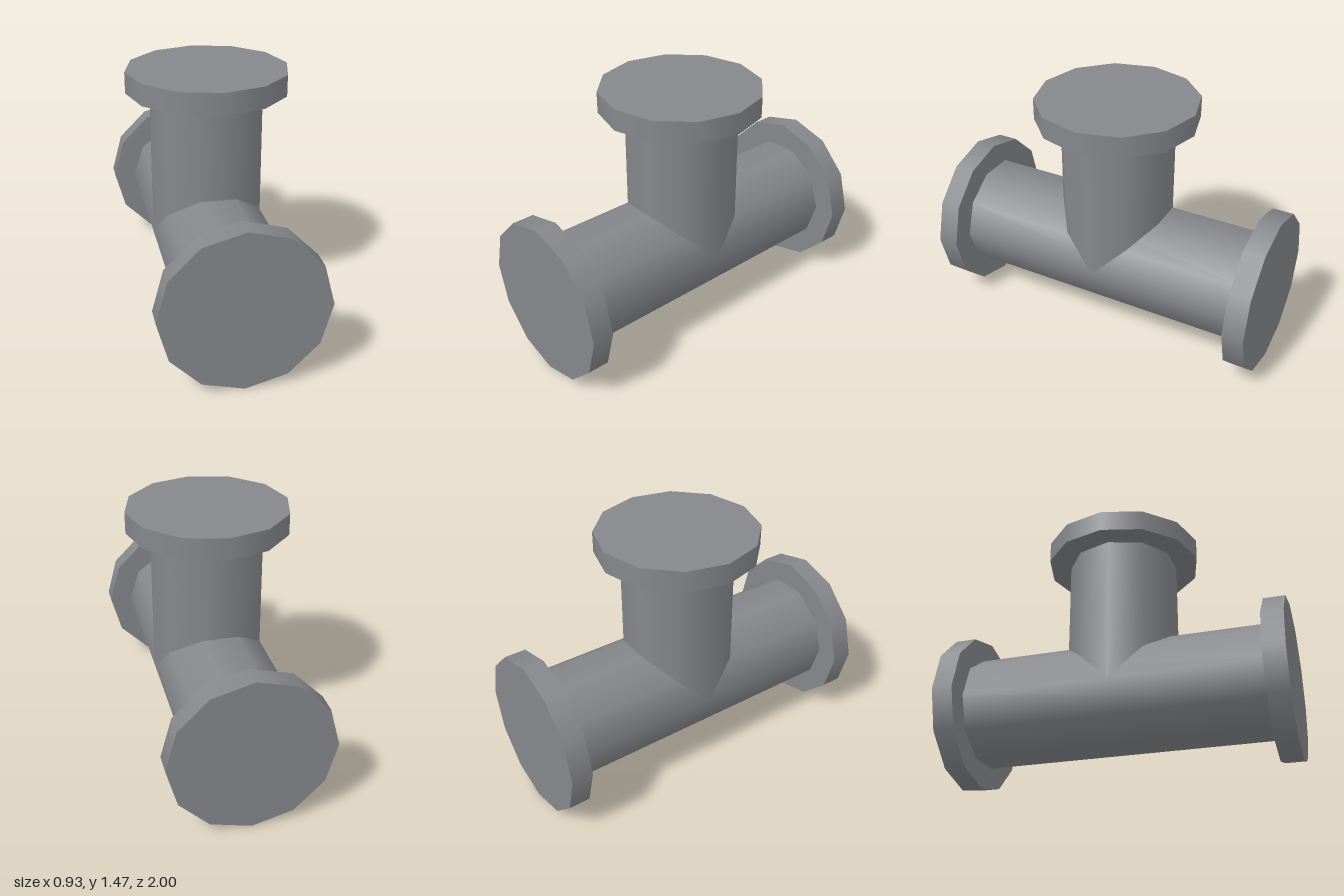
import * as THREE from 'three';

const AXIS_Y = 0.467; // height of the main pipe's centre line
const PIPE_R = 0.33, FLANGE_R = 0.467, FLANGE_T = 0.124;

export function createModel() {
  const model = new THREE.Group();
  model.name = 'pipeTee';
  const steel = new THREE.MeshStandardMaterial({ color: 0x85878b });
  steel.name = 'grey steel';

  const add = (name, geometry, y, z = 0) => {
    const mesh = new THREE.Mesh(geometry, steel);
    mesh.name = name;
    mesh.position.set(0, y, z);
    model.add(mesh);
  };
  // ten-sided open tube with corners on the x axis
  const tube = (length) =>
    new THREE.CylinderGeometry(PIPE_R, PIPE_R, length, 10, 1, true, Math.PI / 2);
  const flange = () => new THREE.CylinderGeometry(FLANGE_R, FLANGE_R, FLANGE_T, 12);

  // main pipe along z with a flange at each end
  add('mainPipe', tube(2 - 2 * FLANGE_T).rotateX(Math.PI / 2), AXIS_Y);
  for (const [name, s] of [['frontFlange', 1], ['backFlange', -1]]) {
    add(name, flange().rotateX(Math.PI / 2), AXIS_Y, s * (1 - FLANGE_T / 2));
  }

  // upright branch, its lower rim mitred onto the main pipe
  const length = 1 - FLANGE_T;
  const branch = tube(length).translate(0, length / 2, 0);
  const p = branch.attributes.position;
  for (let i = 0; i < p.count; i++) {
    if (p.getY(i) < length / 2) p.setY(i, Math.abs(p.getZ(i)));
  }
  add('branchPipe', branch, AXIS_Y);
  add('topFlange', flange(), AXIS_Y + 1 - FLANGE_T / 2);

  return model;
}
